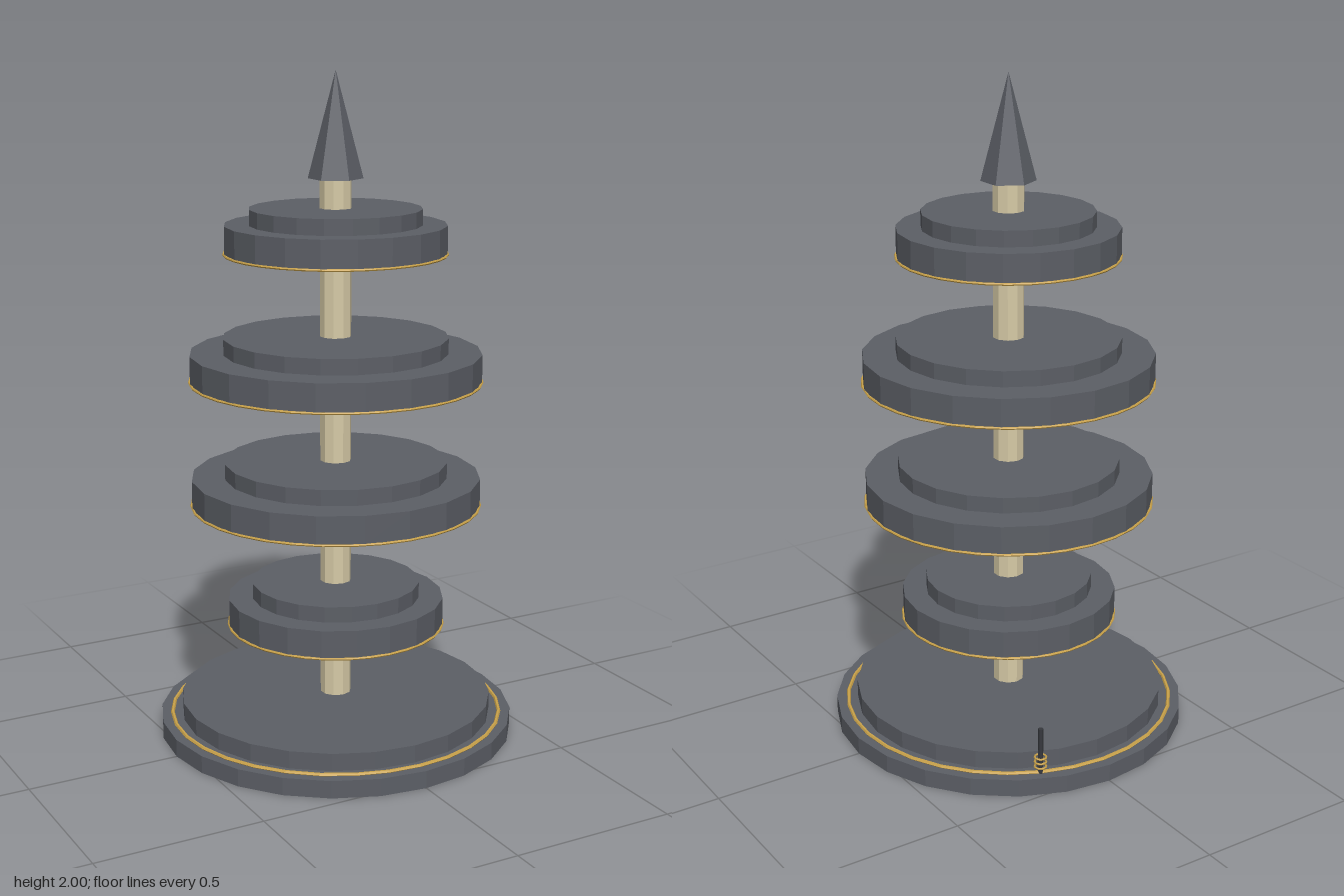
import * as THREE from 'three';

export function createModel() {
  const model = new THREE.Group();
  model.name = 'tieredTower';

  const mat = (name, color) => {
    const m = new THREE.MeshStandardMaterial({ color, flatShading: true });
    m.name = name;
    return m;
  };
  const slate = mat('slate', 0x5c5f66);
  const cream = mat('cream', 0xd6caa6);
  const gold = mat('gold', 0xc9a24a);
  const iron = mat('darkIron', 0x36383d);

  const add = (parent, name, geometry, material, x, y, z) => {
    const mesh = new THREE.Mesh(geometry, material);
    mesh.name = name;
    mesh.position.set(x, y, z);
    parent.add(mesh);
    return mesh;
  };
  // Upright prism between two heights
  const disc = (parent, name, r, y0, y1, sides, material, x = 0, z = 0) =>
    add(parent, name, new THREE.CylinderGeometry(r, r, y1 - y0, sides), material, x, (y0 + y1) / 2, z);
  // Horizontal thin ring
  const ring = (parent, name, r, tube, y, sides, x = 0, z = 0) =>
    add(parent, name, new THREE.TorusGeometry(r, tube, 6, sides).rotateX(Math.PI / 2), gold, x, y, z);

  // Stepped base with inlaid ring
  const base = new THREE.Group();
  base.name = 'base';
  disc(base, 'baseSlab', 0.54, 0, 0.053, 24, slate);
  disc(base, 'baseStep', 0.475, 0.053, 0.106, 24, slate);
  ring(base, 'baseRing', 0.505, 0.006, 0.055, 32);
  model.add(base);

  // Central column and pointed spire
  disc(model, 'column', 0.047, 0.1, 1.7, 10, cream);
  add(model, 'spire', new THREE.ConeGeometry(0.081, 0.31, 6), slate, 0, 1.845, 0);

  // Four floating tiers: bottom height, lower radius, upper radius
  const tiers = [
    [0.335, 0.328, 0.255],
    [0.714, 0.435, 0.335],
    [1.093, 0.435, 0.335],
    [1.472, 0.328, 0.255],
  ];
  tiers.forEach(([y, r, top], i) => {
    const tier = new THREE.Group();
    tier.name = `tier${i + 1}`;
    disc(tier, 'tierDrum', r, y, y + 0.085, 20, slate);
    disc(tier, 'tierCap', top, y + 0.085, y + 0.132, 20, slate);
    ring(tier, 'tierTrim', r, 0.004, y, 32);
    model.add(tier);
  });

  // Small post with gold collars at the rear edge of the base
  const post = new THREE.Group();
  post.name = 'post';
  disc(post, 'postRod', 0.008, 0.053, 0.197, 8, iron, 0.195, -0.465);
  for (const y of [0.075, 0.09, 0.105]) ring(post, 'postCollar', 0.017, 0.003, y, 12, 0.195, -0.465);
  model.add(post);

  return model;
}
